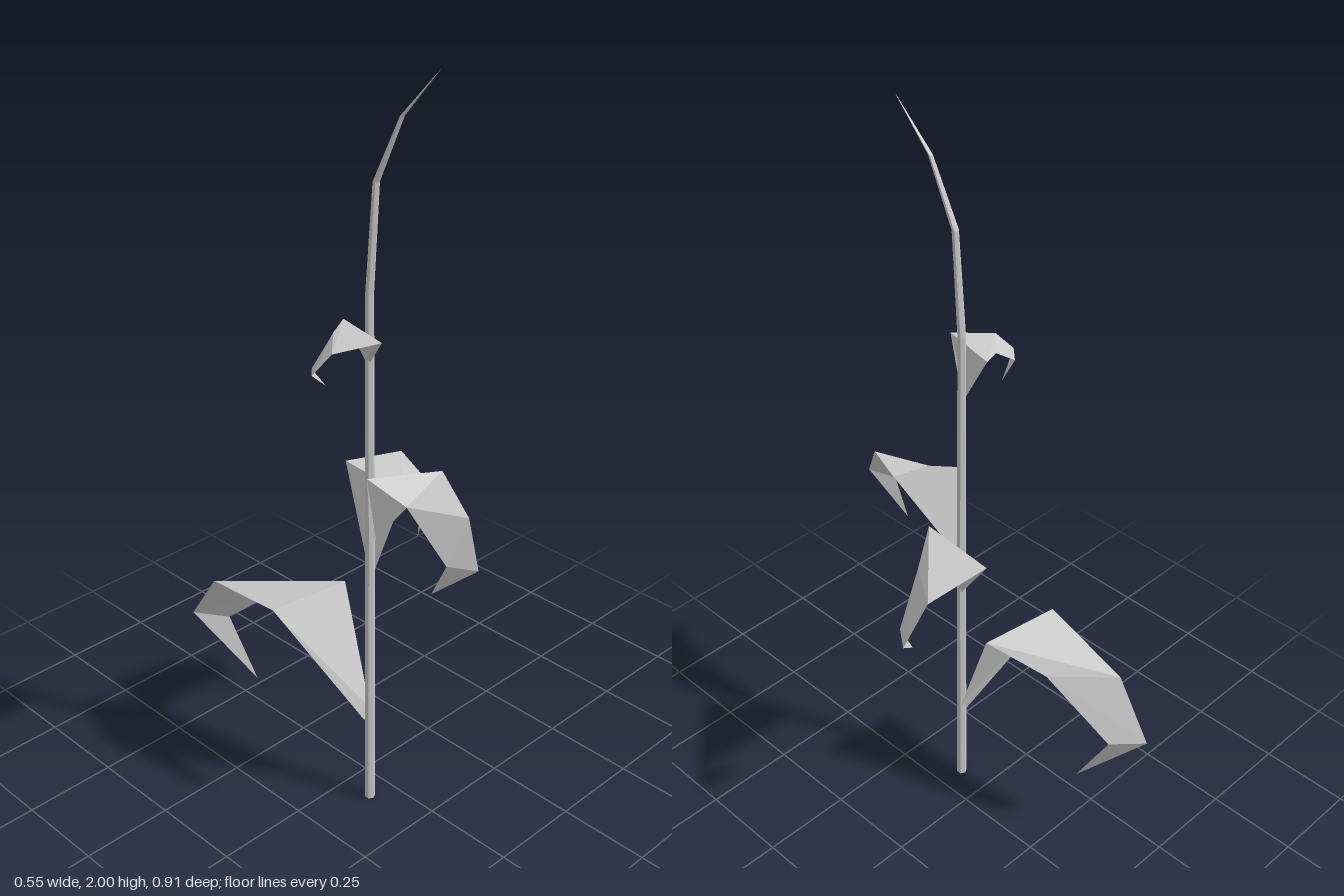
import * as THREE from 'three';

const leafMaterial = new THREE.MeshStandardMaterial({ color: 0xcccccc, flatShading: true, side: THREE.DoubleSide });
const stemMaterial = new THREE.MeshStandardMaterial({ color: 0xcccccc, flatShading: true });

// Folded blade: pairs of edge points from the stem outwards, closing on one tip
function makeLeaf(name, pairs, tip) {
  const pos = [];
  for (let i = 0; i < pairs.length - 1; i++) {
    const [a, b] = pairs[i];
    const [c, d] = pairs[i + 1];
    pos.push(...a, ...b, ...c, ...b, ...d, ...c);
  }
  const [a, b] = pairs[pairs.length - 1];
  pos.push(...a, ...b, ...tip);
  const geometry = new THREE.BufferGeometry();
  geometry.setAttribute('position', new THREE.Float32BufferAttribute(pos, 3));
  geometry.computeVertexNormals();
  const leaf = new THREE.Mesh(geometry, leafMaterial);
  leaf.name = name;
  return leaf;
}

// Tapered six-sided stalk whose top droops forward to a point
function makeStem() {
  // x, y, z, radius
  const rings = [
    [-0.072, 0, 0.089, 0.014],
    [-0.072, 0.8, 0.088, 0.0125],
    [-0.072, 1.45, 0.085, 0.0105],
    [-0.073, 1.72, 0.106, 0.0085],
    [-0.068, 1.88, 0.178, 0.0055],
    [-0.058, 1.995, 0.275, 0.0005],
  ];
  const rows = rings.length - 1;
  const geometry = new THREE.CylinderGeometry(1, 1, rows, 6, rows);
  const p = geometry.attributes.position;
  for (let i = 0; i < p.count; i++) {
    const [x, y, z, r] = rings[Math.round(p.getY(i) + rows / 2)];
    p.setXYZ(i, x + p.getX(i) * r, y, z + p.getZ(i) * r);
  }
  geometry.computeVertexNormals();
  const stem = new THREE.Mesh(geometry, stemMaterial);
  stem.name = 'stem';
  return stem;
}

export function createModel() {
  const plant = new THREE.Group();
  plant.name = 'plant';
  plant.add(makeStem());

  plant.add(makeLeaf('backLeaf', [
    [[-0.082, 0.25, 0.078], [-0.062, 0.28, 0.078]],
    [[-0.253, 0.6, -0.075], [-0.03, 0.6, -0.045]],
    [[-0.22, 0.55, -0.345], [-0.095, 0.54, -0.2]],
    [[-0.21, 0.395, -0.455], [-0.145, 0.385, -0.38]],
  ], [-0.13, 0.22, -0.29]));

  plant.add(makeLeaf('leftLeaf', [
    [[-0.062, 0.68, 0.078], [-0.062, 0.72, 0.098]],
    [[0.025, 0.912, -0.097], [0.007, 0.912, 0.125]],
    [[0.2, 0.885, -0.07], [0.108, 0.87, 0.06]],
    [[0.275, 0.785, -0.06], [0.225, 0.775, 0.005]],
  ], [0.17, 0.67, 0.02]));

  plant.add(makeLeaf('frontLeaf', [
    [[-0.08, 0.8, 0.098], [-0.062, 0.8, 0.098]],
    [[-0.135, 1.015, 0.14], [0.02, 1.015, 0.238]],
    [[-0.115, 0.975, 0.25], [-0.055, 0.98, 0.392]],
    [[-0.115, 0.87, 0.38], [-0.085, 0.877, 0.452]],
  ], [-0.11, 0.77, 0.33]));

  plant.add(makeLeaf('rightLeaf', [
    [[-0.08, 1.285, 0.096], [-0.08, 1.285, 0.078]],
    [[-0.144, 1.385, 0.196], [-0.11, 1.385, 0.038]],
    [[-0.24, 1.368, 0.135], [-0.165, 1.375, 0.062]],
    [[-0.278, 1.32, 0.11], [-0.245, 1.315, 0.074]],
  ], [-0.212, 1.265, 0.086]));

  return plant;
}
